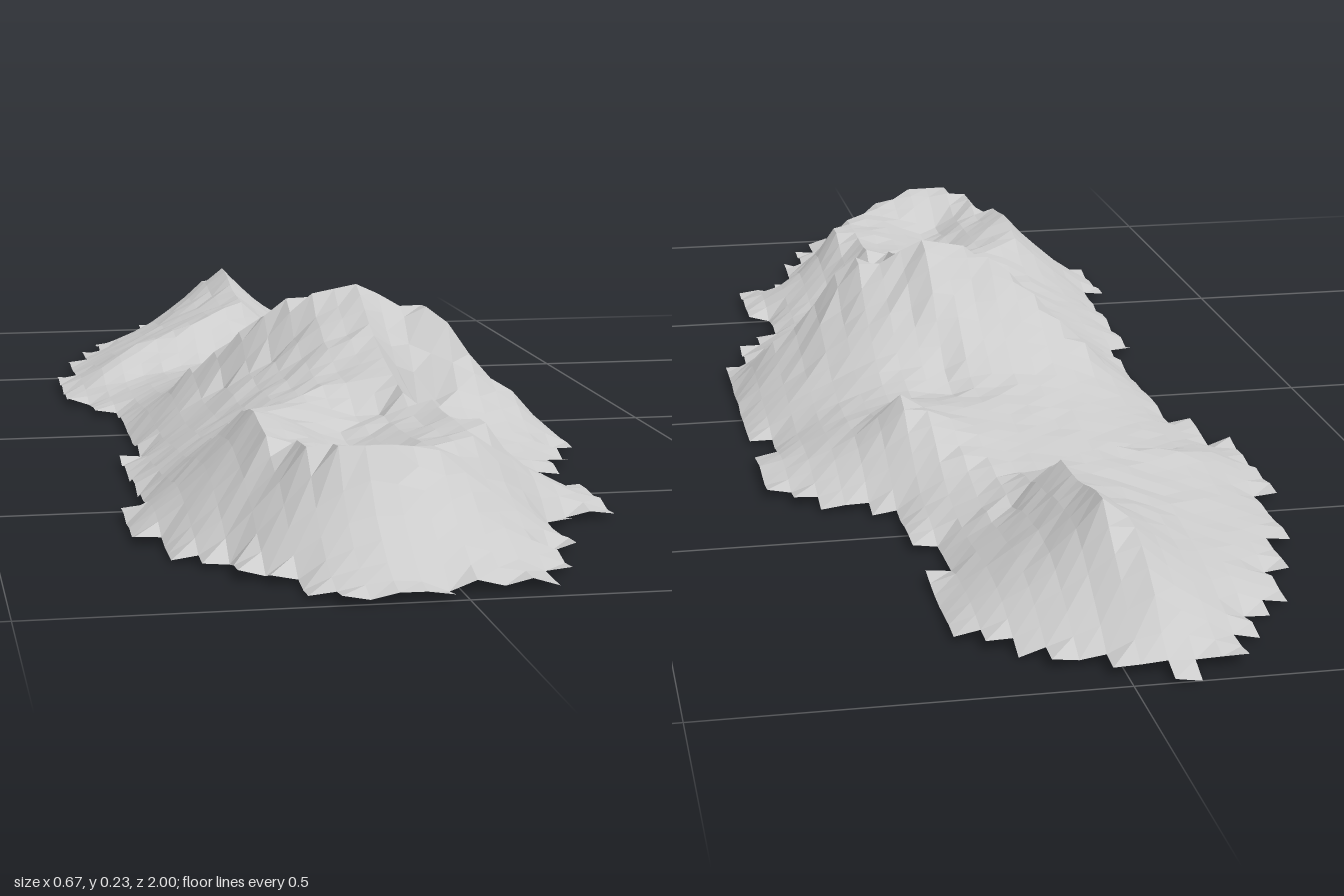
import * as THREE from 'three';

const COLS = 21, ROWS = 63, CELL = 2 / 63;

// Stepped coastline: [first row, first column, end column], each run lasts until the next
const COAST = [
  [0, 8, 9], [1, 6, 11], [2, 6, 13], [3, 5, 14], [4, 5, 15], [5, 4, 16],
  [6, 3, 16], [9, 2, 16], [11, 2, 15], [12, 1, 15], [14, 1, 16], [17, 0, 16],
  [18, 0, 17], [19, 0, 19], [20, 0, 20], [21, 0, 21], [24, 1, 21], [26, 1, 20],
  [27, 2, 20], [28, 2, 21], [38, 1, 21], [39, 1, 20], [42, 1, 19], [44, 1, 18],
  [47, 1, 19], [48, 0, 19], [52, 0, 17], [53, 1, 16], [56, 2, 16], [57, 3, 15],
  [59, 4, 15], [60, 5, 14], [62, 6, 10],
];

// Ridge and valley lines as points [x, z, height]
const LINES = {
  summitCrest: [[-0.08, 0.06, 0.175], [-0.05, 0.08, 0.203], [-0.015, 0.11, 0.216], [0.016, 0.11, 0.22],
    [0.048, 0.11, 0.229], [0.08, 0.11, 0.2], [0.11, 0.11, 0.193], [0.143, 0.13, 0.199],
    [0.175, 0.13, 0.15], [0.206, 0.13, 0.108], [0.27, 0.14, 0.062]],
  westSpur: [[-0.08, 0.06, 0.175], [-0.11, 0.03, 0.14], [-0.17, -0.02, 0.085]],
  westGully: [[-0.08, 0.14, 0.125], [-0.17, 0.12, 0.065]],
  saddle: [[0.048, 0.11, 0.229], [0.05, 0.05, 0.195], [0.05, 0, 0.145], [0.05, -0.06, 0.087],
    [0.06, -0.13, 0.068], [0.11, -0.2, 0.08], [0.14, -0.27, 0.115], [0.1, -0.36, 0.072], [0.05, -0.43, 0.06]],
  southRidge: [[0.048, 0.11, 0.229], [0.048, 0.2, 0.182], [0.048, 0.3, 0.152], [0.048, 0.4, 0.13]],
  craterRim: [[0.048, 0.4, 0.13], [0.08, 0.5, 0.118], [0.1, 0.6, 0.122], [0.09, 0.66, 0.118],
    [0, 0.77, 0.122], [-0.05, 0.81, 0.137], [-0.11, 0.82, 0.138], [-0.14, 0.74, 0.127],
    [-0.175, 0.66, 0.128], [-0.175, 0.58, 0.14], [-0.175, 0.5, 0.122], [-0.1, 0.42, 0.118],
    [-0.03, 0.35, 0.132], [0.048, 0.33, 0.147]],
  craterFloor: [[0, 0.43, 0.1], [-0.05, 0.5, 0.086], [-0.05, 0.6, 0.083], [-0.07, 0.71, 0.09]],
  eastGully: [[0.13, 0.22, 0.075], [0.12, 0.32, 0.055], [0.13, 0.42, 0.042]],
  northRidge: [[-0.06, -0.92, 0.05], [-0.04, -0.85, 0.1], [-0.02, -0.77, 0.14], [-0.02, -0.65, 0.115],
    [-0.02, -0.55, 0.11], [-0.1, -0.47, 0.09], [-0.2, -0.42, 0.063], [-0.28, -0.34, 0.03]],
  northGully: [[0.05, -0.6, 0.06], [0.08, -0.51, 0.035]],
  valley: [[-0.23, -0.3, 0.025], [-0.1, -0.37, 0.042], [0, -0.43, 0.05]],
};

function hash(i, j) {
  const s = Math.sin(i * 127.1 + j * 311.7) * 43758.5453;
  return s - Math.floor(s);
}

const rowRun = (j) => COAST.filter((r) => r[0] <= j).pop();
function isLand(i, j) {
  if (j < 0 || j >= ROWS) return false;
  const [, a, b] = rowRun(j);
  return i >= a && i < b;
}

const node = (i, j) => j * (COLS + 1) + i;

// Pin the coast, ridges and valleys, then relax the slopes between them
function solveHeights() {
  const count = (COLS + 1) * (ROWS + 1);
  const h = new Float32Array(count).fill(0.04);
  const pinned = new Uint8Array(count);

  for (const line of Object.values(LINES)) {
    for (let k = 0; k < line.length - 1; k++) {
      for (let s = 0; s <= 12; s++) {
        const [x, z, y] = line[k].map((v, n) => v + (line[k + 1][n] - v) * s / 12);
        const i = Math.round(x / CELL + COLS / 2), j = Math.round(z / CELL + ROWS / 2);
        // Height is taken where the line passes closest to the node
        const off = Math.hypot(x / CELL + COLS / 2 - i, z / CELL + ROWS / 2 - j);
        const n = node(i, j);
        if (pinned[n] && off > 0.35) continue;
        h[n] = pinned[n] ? Math.max(h[n], y) : y;
        pinned[n] = 1;
      }
    }
  }
  for (let j = 0; j <= ROWS; j++) {
    for (let i = 0; i <= COLS; i++) {
      const inside = isLand(i, j) && isLand(i - 1, j) && isLand(i, j - 1) && isLand(i - 1, j - 1);
      if (inside) continue;
      h[node(i, j)] = 0.002 + 0.012 * hash(i, j);
      pinned[node(i, j)] = 1;
    }
  }
  h[node(8, 0)] = 0;

  for (let pass = 0; pass < 400; pass++) {
    for (let j = 1; j < ROWS; j++) {
      for (let i = 1; i < COLS; i++) {
        const n = node(i, j);
        if (pinned[n]) continue;
        h[n] = (h[n - 1] + h[n + 1] + h[n - COLS - 1] + h[n + COLS + 1]) / 4;
      }
    }
  }
  // Slight erosion on the free slopes
  return h.map((y, n) => (pinned[n] ? y : y * (0.96 + 0.08 * hash(n, 7))));
}

export function createModel() {
  const heights = solveHeights();
  const positions = [], index = [];
  const used = new Map();

  const vertex = (i, j) => {
    const n = node(i, j);
    if (!used.has(n)) {
      used.set(n, positions.length / 3);
      positions.push((i - COLS / 2) * CELL, heights[n], (j - ROWS / 2) * CELL);
    }
    return used.get(n);
  };

  // Two triangles for every land cell
  for (let j = 0; j < ROWS; j++) {
    for (let i = 0; i < COLS; i++) {
      if (!isLand(i, j)) continue;
      const a = vertex(i, j), b = vertex(i + 1, j), c = vertex(i, j + 1), d = vertex(i + 1, j + 1);
      index.push(a, c, b, b, c, d);
    }
  }

  const geometry = new THREE.BufferGeometry();
  geometry.setAttribute('position', new THREE.Float32BufferAttribute(positions, 3));
  geometry.setIndex(index);
  geometry.computeVertexNormals();

  const terrain = new THREE.Mesh(geometry, new THREE.MeshStandardMaterial({
    color: 0xcccccc, flatShading: true, side: THREE.DoubleSide,
  }));
  terrain.name = 'mountainTerrain';

  const group = new THREE.Group();
  group.name = 'mountainIsland';
  group.add(terrain);
  return group;
}
